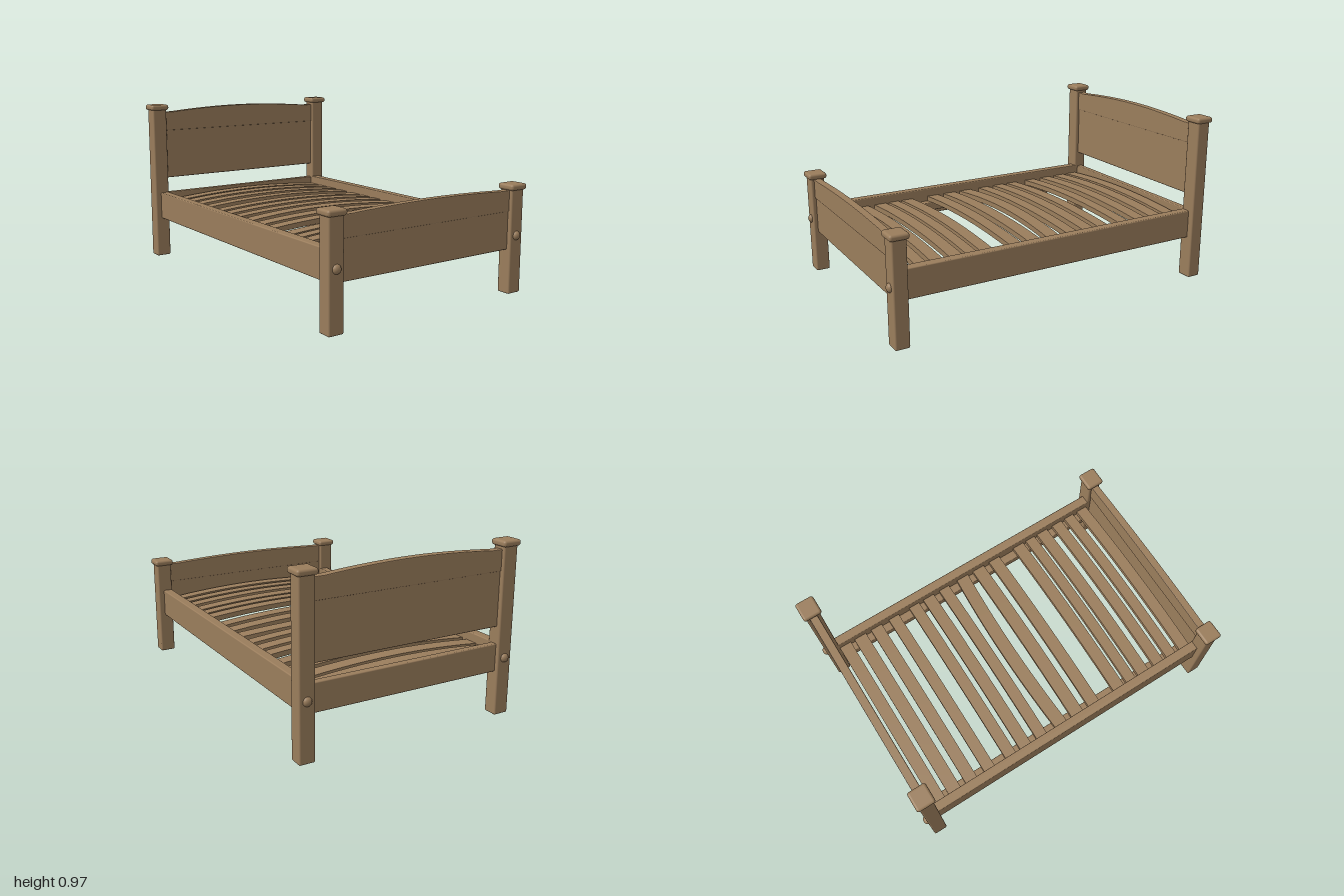
import * as THREE from 'three';
import { RoundedBoxGeometry } from 'three/addons/geometries/RoundedBoxGeometry.js';

export function createModel() {
  const bed = new THREE.Group();
  bed.name = 'bed';
  const wood = new THREE.MeshStandardMaterial({ color: 0x9a7d5c });
  wood.name = 'wood';

  function add(name, geometry, x = 0, y = 0, z = 0) {
    const mesh = new THREE.Mesh(geometry, wood);
    mesh.name = name;
    mesh.position.set(x, y, z);
    bed.add(mesh);
    return mesh;
  }

  // Softened box given by its lower and upper limits
  function block(name, [x0, x1], [y0, y1], [z0, z1], radius = 0.006) {
    const geometry = new RoundedBoxGeometry(x1 - x0, y1 - y0, z1 - z0, 3, radius);
    return add(name, geometry, (x0 + x1) / 2, (y0 + y1) / 2, (z0 + z1) / 2);
  }

  // Board with a gently arched top edge
  function archedBoard(name, bottom, edge, crown, z, depth) {
    const shape = new THREE.Shape();
    shape.moveTo(-0.565, bottom);
    shape.lineTo(0.565, bottom);
    shape.lineTo(0.565, edge);
    shape.lineTo(0.5, edge);
    const rise = crown - edge;
    for (let i = 0; i <= 20; i++) {
      const x = 0.5 - i * 0.05;
      shape.lineTo(x, edge + rise * Math.cos(x * Math.PI) ** 0.9);
    }
    shape.lineTo(-0.565, edge);
    const bevel = 0.004;
    const geometry = new THREE.ExtrudeGeometry(shape, {
      depth: depth - 2 * bevel, bevelThickness: bevel, bevelSize: bevel,
      bevelOffset: -bevel, bevelSegments: 2,
    });
    add(name, geometry, 0, 0, z - depth / 2 + bevel);
  }

  // Posts with pillow caps and bolt heads
  for (const side of [-1, 1]) {
    const label = side > 0 ? 'left' : 'right';
    const x = side * 0.605;
    for (const [end, z, height, out] of [['Front', 0.948, 0.61, 1], ['Back', -0.94, 0.97, -1]]) {
      block(label + end + 'Post', [x - 0.045, x + 0.045], [0, height - 0.015], [z - 0.041, z + 0.041], 0.009);
      block(label + end + 'Cap', [x - 0.057, x + 0.057], [height - 0.034, height], [z - 0.054, z + 0.054], 0.014);
      const bolt = add(label + end + 'Bolt', new THREE.SphereGeometry(0.025, 20, 14), x, 0.325, z + out * 0.039);
      bolt.scale.z = 0.8;
    }
    // Side rail and the ledge that carries the slats
    const span = (a, b) => (side > 0 ? [a, b] : [-b, -a]);
    block(label + 'Rail', span(0.56, 0.615), [0.245, 0.41], [-0.91, 0.92]);
    block(label + 'Ledge', span(0.51, 0.565), [0.28, 0.33], [-0.9, 0.91]);
  }

  // Footboard: lower panel and thicker arched top band
  block('footboardPanel', [-0.565, 0.565], [0.248, 0.465], [0.931, 0.965]);
  archedBoard('footboardTop', 0.46, 0.576, 0.59, 0.948, 0.044);

  // Headboard: panel, thicker arched top band and separate lower rail
  block('headboardPanel', [-0.565, 0.565], [0.5, 0.81], [-0.957, -0.923]);
  archedBoard('headboardTop', 0.805, 0.922, 0.946, -0.94, 0.046);
  block('headboardRail', [-0.565, 0.565], [0.248, 0.405], [-0.96, -0.92]);

  // Slats bowed upward; one is also warped sideways
  const slats = [
    [-0.9, -0.825], [-0.8, -0.72], [-0.685, -0.61], [-0.56, -0.49],
    [-0.415, -0.345], [-0.315, -0.24], [-0.2, -0.13], [-0.07, 0.01],
    [0.045, 0.125], [0.165, 0.24], [0.345, 0.42], [0.44, 0.505],
    [0.525, 0.6], [0.64, 0.71], [0.735, 0.8], [0.83, 0.9],
  ];
  slats.forEach(([z0, z1], i) => {
    const geometry = new THREE.BoxGeometry(1.12, 0.03, z1 - z0, 16, 1, 1);
    const p = geometry.attributes.position;
    const warp = i === 7 ? -0.025 : 0;
    for (let k = 0; k < p.count; k++) {
      const bow = 1 - (p.getX(k) / 0.56) ** 2;
      p.setY(k, p.getY(k) + 0.03 * bow);
      p.setZ(k, p.getZ(k) + warp * bow);
    }
    geometry.computeVertexNormals();
    add('slat' + (i + 1), geometry, 0, 0.345, (z0 + z1) / 2);
  });

  return bed;
}
